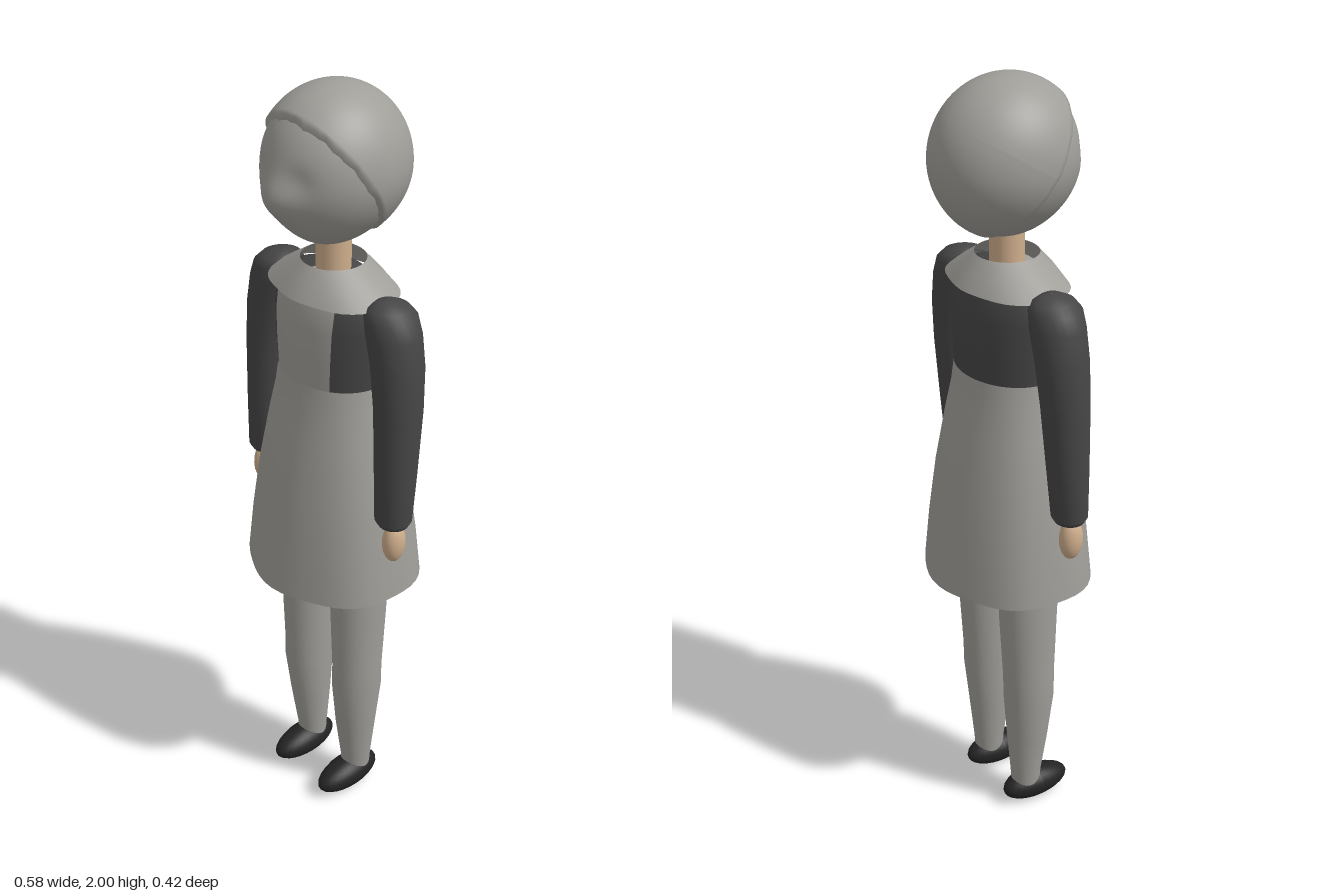
import * as THREE from 'three';

const mat = (name, color) => {
  const m = new THREE.MeshStandardMaterial({ color, side: THREE.DoubleSide });
  m.name = name;
  return m;
};

// Skin over elliptical rings [y, centreX, centreZ, radiusX, radiusZ], listed bottom to top.
// Angles run from the front (+z) towards +x; wave(angle, t) scales the radius.
function loft(rings, { n = 32, from = 0, to = Math.PI * 2, wave = () => 1 } = {}) {
  const full = to - from > 6.28, cols = full ? n : n + 1, pos = [], idx = [];
  rings.forEach(([y, cx, cz, rx, rz], r) => {
    for (let i = 0; i < cols; i++) {
      const a = from + (to - from) * i / n, k = wave(a, r / (rings.length - 1));
      pos.push(cx + Math.sin(a) * rx * k, y, cz + Math.cos(a) * rz * k);
    }
  });
  for (let r = 0; r < rings.length - 1; r++) for (let i = 0; i < n; i++) {
    const a = r * cols + i, b = r * cols + (i + 1) % cols;
    idx.push(a, b, a + cols, b, b + cols, a + cols);
  }
  const g = new THREE.BufferGeometry();
  g.setAttribute('position', new THREE.Float32BufferAttribute(pos, 3));
  g.setIndex(idx);
  g.computeVertexNormals();
  return g;
}

// Moves every vertex by a rule
function shape(g, rule) {
  const p = g.attributes.position, v = new THREE.Vector3();
  for (let i = 0; i < p.count; i++) {
    v.fromBufferAttribute(p, i);
    rule(v);
    p.setXYZ(i, v.x, v.y, v.z);
  }
  g.computeVertexNormals();
  return g;
}

export function createModel() {
  const root = new THREE.Group();
  root.name = 'doll';
  const grey = mat('warmGrey', 0xa09e99), dark = mat('charcoal', 0x464646);
  const skin = mat('skin', 0xcfae8c), black = mat('shoeBlack', 0x232323);
  const add = (name, geo, m, parent = root) => {
    const mesh = new THREE.Mesh(geo, m);
    mesh.name = name;
    parent.add(mesh);
    return mesh;
  };
  const ellipsoid = (x, y, z, rx, ry, rz) =>
    new THREE.SphereGeometry(1, 24, 16).scale(rx, ry, rz).translate(x, y, z);

  // Limbs, mirrored left and right
  for (const [side, s] of [['left', 1], ['right', -1]]) {
    add(side + 'Leg', loft([
      [0.04, s * 0.09, 0, 0.036, 0.038], [0.1, s * 0.09, 0, 0.04, 0.042],
      [0.22, s * 0.092, 0.003, 0.052, 0.056], [0.35, s * 0.096, 0.004, 0.062, 0.069],
      [0.42, s * 0.096, 0.003, 0.061, 0.07], [0.6, s * 0.096, 0, 0.067, 0.078],
      [0.74, s * 0.096, 0, 0.07, 0.084], [0.85, s * 0.095, 0, 0.071, 0.086],
    ], { n: 24 }), grey);
    add(side + 'Shoe', shape(ellipsoid(s * 0.09, 0.043, 0.031, 0.046, 0.043, 0.1), v => {
      if (v.z > 0.04) v.y *= 1 - (v.z - 0.04) * 1.2;
    }), black);
    add(side + 'Sleeve', loft([
      [0.962, s * 0.238, 0.02, 0.001, 0.001], [0.955, s * 0.238, 0.02, 0.038, 0.036],
      [0.97, s * 0.238, 0.02, 0.047, 0.045], [1.1, s * 0.236, 0.014, 0.052, 0.052],
      [1.27, s * 0.232, 0.006, 0.058, 0.06], [1.38, s * 0.222, 0.002, 0.063, 0.065],
      [1.46, s * 0.205, 0, 0.066, 0.067], [1.5, s * 0.195, 0, 0.062, 0.064],
      [1.52, s * 0.188, 0, 0.048, 0.05], [1.532, s * 0.182, 0, 0.022, 0.024],
      [1.534, s * 0.18, 0, 0.001, 0.001],
    ], { n: 24 }), dark);
    add(side + 'Hand', ellipsoid(s * 0.244, 0.905, 0.022, 0.027, 0.056, 0.031), skin);
  }

  // Dress: flared skirt with a gently rippled hem
  add('skirt', loft([
    [0.72, 0, 0, 0.237, 0.207], [0.85, 0, 0, 0.224, 0.193], [1, 0, 0, 0.203, 0.173],
    [1.15, 0, 0, 0.175, 0.145], [1.23, 0, 0, 0.158, 0.128], [1.29, 0, 0, 0.15, 0.12],
  ], { n: 48, wave: (a, t) => 1 + (1 - t) * 0.018 * Math.cos(6 * a + 0.3) }), grey);

  // Bodice: pale front panel, charcoal sides and back
  const bodice = [
    [1.29, 0, 0, 0.15, 0.12], [1.36, 0, 0, 0.156, 0.121], [1.44, 0, 0, 0.162, 0.119],
    [1.5, 0, 0, 0.163, 0.108], [1.53, 0, 0, 0.13, 0.09], [1.55, 0, 0, 0.08, 0.065],
    [1.555, 0, 0, 0.035, 0.035],
  ];
  const edge = 0.65;
  add('bodiceFront', loft(bodice, { n: 12, from: -edge, to: edge }), grey);
  add('bodiceBack', loft(bodice, { n: 40, from: edge, to: Math.PI * 2 - edge }), dark);

  // Sloping collar and neck
  add('collar', loft([
    [1.51, 0, 0, 0.182, 0.128], [1.545, 0, 0, 0.133, 0.106], [1.58, 0, 0, 0.08, 0.077],
  ], { n: 40, wave: (a, t) => 1 + (1 - t) * 0.012 * Math.cos(8 * a) }), grey);
  add('neck', new THREE.CylinderGeometry(0.042, 0.042, 0.13, 24).translate(0, 1.595, 0), skin);

  // Head: tapered face with a pointed nose and shallow eye hollows
  const head = new THREE.Group();
  head.name = 'head';
  head.position.y = 1.808;
  root.add(head);
  const taper = v => {
    if (v.y < 0) v.x *= 1 - 0.22 * (v.y / 0.19) ** 2;
  };
  const bump = (v, x, y, w, h) => Math.exp(-((v.x - x) ** 2 + (v.y - y) ** 2) / (w * w)) * h;
  add('face', shape(new THREE.SphereGeometry(1, 64, 48).scale(0.16, 0.186, 0.172), v => {
    taper(v);
    if (v.z > 0) v.z += (bump(v, 0, -0.04, 0.055, 0.028)
      - bump(v, 0.06, 0.015, 0.03, 0.008) - bump(v, -0.06, 0.015, 0.03, 0.008)) * Math.min(1, v.z / 0.08);
  }), grey, head);

  // Hair: a slanted cap with a slightly ragged, turned-in edge
  const reach = 1.78, cap = new THREE.SphereGeometry(1, 72, 32, 0, Math.PI * 2, 0, reach);
  shape(cap, v => {
    const theta = Math.acos(THREE.MathUtils.clamp(v.y, -1, 1)), a = Math.atan2(v.z, v.x);
    const t = THREE.MathUtils.smoothstep(theta, reach - 0.12, reach);
    const cut = theta + t * 0.02 * Math.sin(18 * a) * Math.cos(7 * a);
    const r = theta > reach - 0.01 ? 0.93 : 1;
    v.set(Math.cos(a) * Math.sin(cut), Math.cos(cut), Math.sin(a) * Math.sin(cut)).multiplyScalar(r);
  });
  cap.rotateX(-1).scale(0.168, 0.192, 0.19);
  add('hair', shape(cap, taper), grey, head);

  return root;
}
